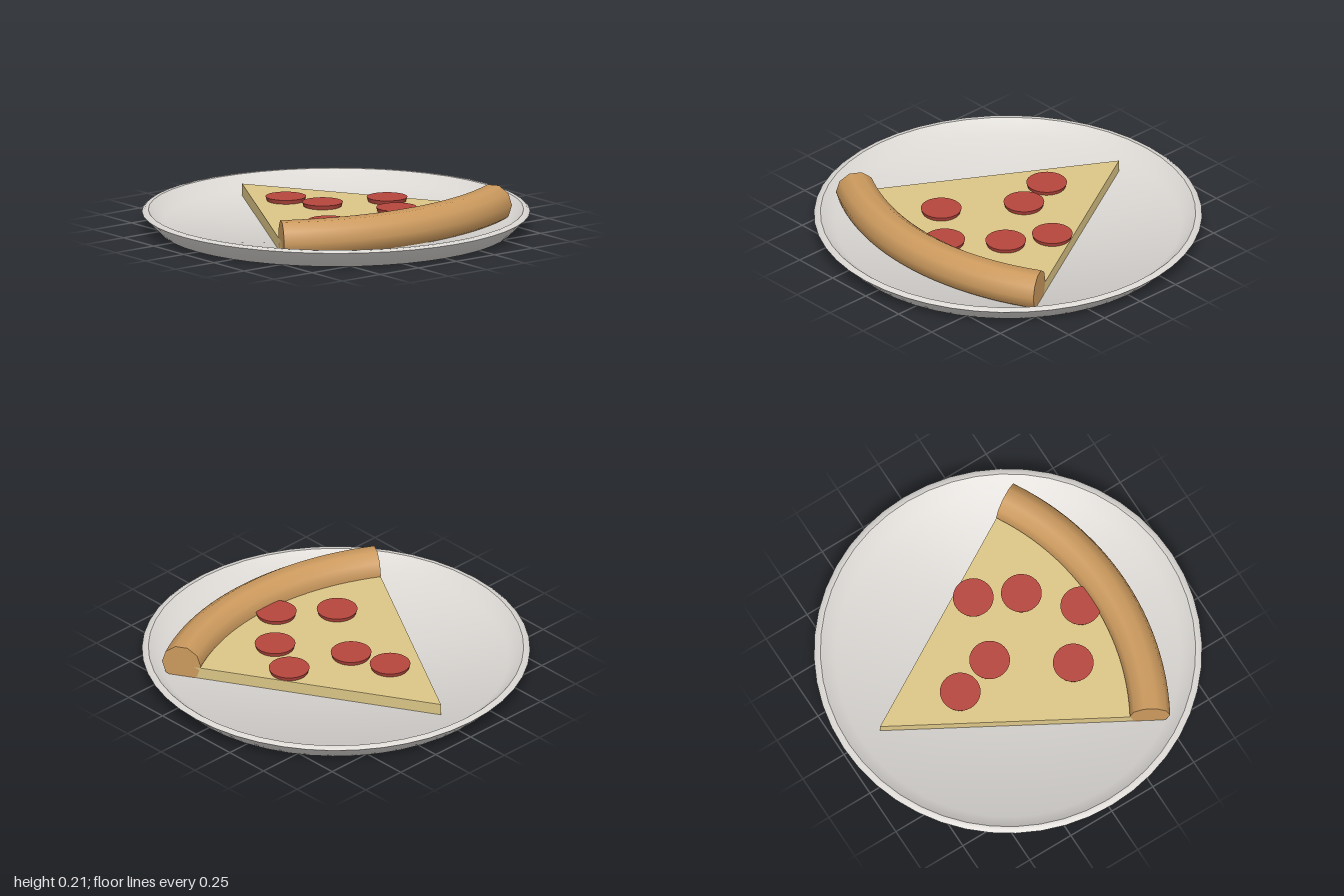
import * as THREE from 'three';

const material = (name, color) => {
  const m = new THREE.MeshStandardMaterial({ color });
  m.name = name;
  return m;
};

// Lathe from rows of [radius, height, normal out, normal up], so shading can run softly across a bend
function softLathe(rows, segments) {
  const geometry = new THREE.LatheGeometry(rows.map(([r, y]) => new THREE.Vector2(r, y)), segments);
  const normal = geometry.attributes.normal;
  const n = new THREE.Vector3();
  for (let i = 0; i < normal.count; i++) {
    const [, , out, up] = rows[i % rows.length];
    const angle = (Math.floor(i / rows.length) / segments) * Math.PI * 2;
    n.set(out * Math.sin(angle), up, out * Math.cos(angle)).normalize();
    normal.setXYZ(i, n.x, n.y, n.z);
  }
  return geometry;
}

export function createModel() {
  const plateGrey = material('plate grey', 0xdad7d3);
  const cheeseYellow = material('cheese yellow', 0xdcc687);
  const crustBrown = material('crust brown', 0xcc9a5e);
  const pepperoniRed = material('pepperoni red', 0xb5463d);

  const group = new THREE.Group();
  const add = (name, geometry, mat, parent = group) => {
    const mesh = new THREE.Mesh(geometry, mat);
    mesh.name = name;
    parent.add(mesh);
    return mesh;
  };

  // Shallow plate: underside, narrow sloping rim, dished inside
  add('plateUnderside', softLathe([[0, 0, 0, -1], [0.91, 0, 0.48, -0.88], [1, 0.09, 0.75, -0.66]], 48), plateGrey);
  add('plateRim', softLathe([[1, 0.09, 0.6, 0.8], [0.987, 0.1, 0.4, 0.9], [0.967, 0.1, 0.1, 1]], 48), plateGrey);
  add('plateDish', softLathe([[0.967, 0.1, -0.6, 0.8], [0.89, 0.035, -0.38, 0.92], [0, 0.035, 0, 1]], 48), plateGrey);

  // The slice is a 60 degree wedge whose tip is the origin of its own group
  const slice = new THREE.Group();
  slice.name = 'pizzaSlice';
  slice.position.x = -0.78;
  group.add(slice);
  const half = Math.PI / 6;
  const crustRadius = 1.392;
  const crustThickness = 0.104;
  const crustY = 0.107;

  // Cheese wedge
  const wedge = new THREE.Shape();
  wedge.moveTo(0, 0);
  wedge.lineTo(crustRadius * Math.cos(half), -crustRadius * Math.sin(half));
  wedge.absarc(0, 0, crustRadius, -half, half, false);
  wedge.lineTo(0, 0);
  const cheese = new THREE.ExtrudeGeometry(wedge, { depth: 0.062, bevelEnabled: false, curveSegments: 24 });
  cheese.rotateX(-Math.PI / 2).translate(0, 0.036, 0);
  add('cheese', cheese, cheeseYellow, slice);

  // Rolled crust with a flat cap at each end
  const crust = new THREE.TorusGeometry(crustRadius, crustThickness, 10, 24, 2 * half);
  crust.rotateZ(-half).rotateX(-Math.PI / 2).translate(0, crustY, 0);
  add('crust', crust, crustBrown, slice);
  for (const side of [-1, 1]) {
    const cap = new THREE.CircleGeometry(crustThickness, 10);
    cap.rotateX(-side * Math.PI / 2).translate(crustRadius, 0, 0).rotateZ(side * half);
    cap.rotateX(-Math.PI / 2).translate(0, crustY, 0);
    add('crustEnd', cap, crustBrown, slice);
  }

  // Pepperoni discs, slightly narrower underneath
  const spots = [[0, -0.335], [0.222, -0.222], [0.444, 0], [0.244, 0.243], [-0.112, 0], [-0.333, 0.066]];
  const disc = new THREE.CylinderGeometry(0.105, 0.097, 0.024, 32);
  for (const [x, z] of spots) {
    add('pepperoni', disc, pepperoniRed).position.set(x, 0.108, z);
  }

  return group;
}
